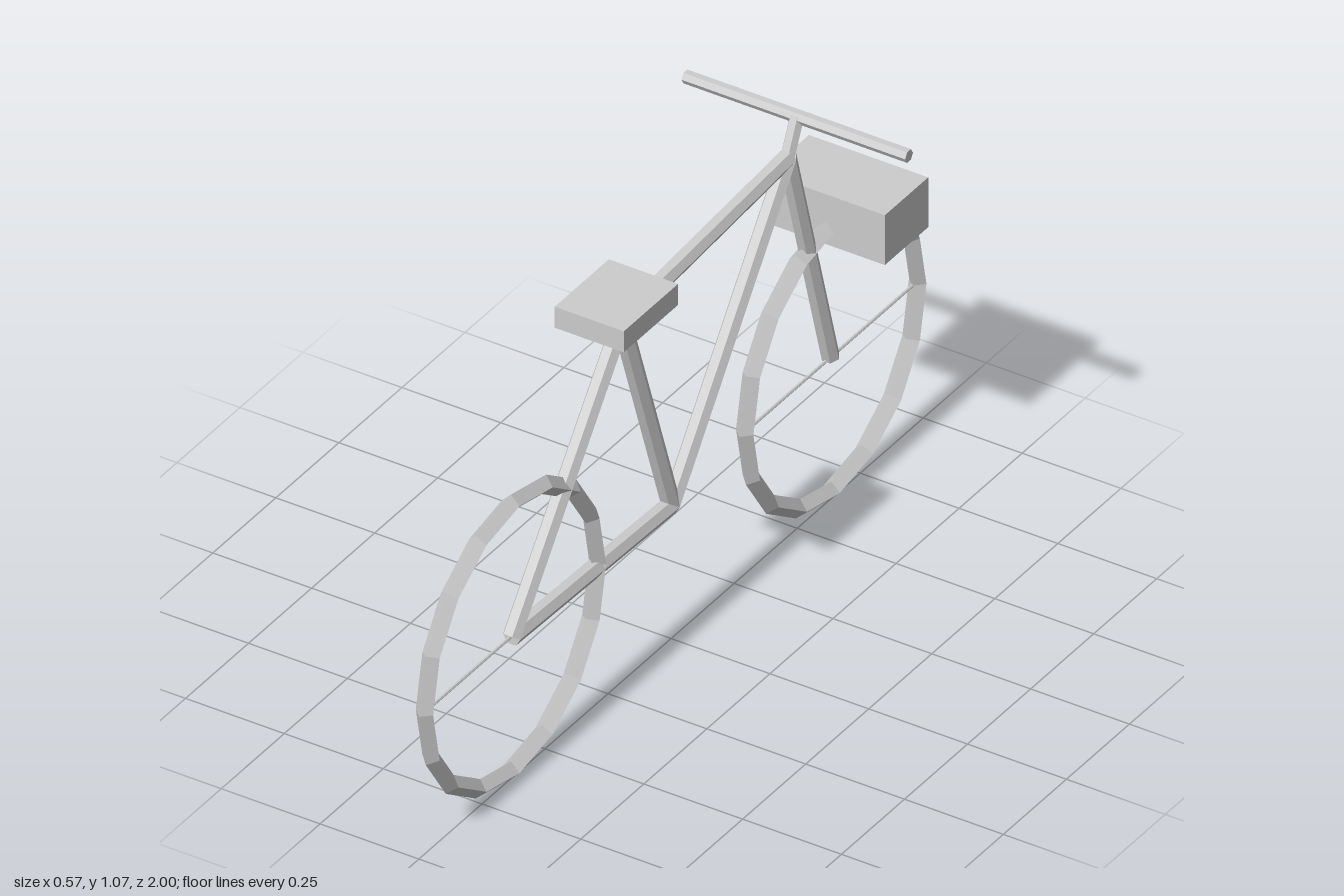
import * as THREE from 'three';

export function createModel() {
  const bike = new THREE.Group();
  bike.name = 'bicycle';
  const grey = new THREE.MeshStandardMaterial({ color: 0xcccccc });
  grey.name = 'light grey';

  function add(name, geometry, parent = bike) {
    const flat = geometry.toNonIndexed();
    flat.computeVertexNormals();
    const mesh = new THREE.Mesh(flat, grey);
    mesh.name = name;
    parent.add(mesh);
    return mesh;
  }

  // Six-sided tube in the centre plane between two [y, z] points, ridges to the sides
  function tube(name, a, b, radius, parent = bike) {
    const from = new THREE.Vector3(0, ...a);
    const to = new THREE.Vector3(0, ...b);
    const dir = to.clone().sub(from);
    const geometry = new THREE.CylinderGeometry(radius, radius, dir.length(), 6);
    geometry.rotateY(Math.PI / 6);
    const mesh = add(name, geometry, parent);
    mesh.position.copy(from).add(to).multiplyScalar(0.5);
    mesh.quaternion.setFromUnitVectors(new THREE.Vector3(0, 1, 0), dir.normalize());
  }

  function box(name, size, position) {
    add(name, new THREE.BoxGeometry(...size)).position.set(...position);
  }

  // Wheels: diamond-section rim with one thin crossbar
  const axleY = 0.372;
  for (const [name, z] of [['rearWheel', 0.635], ['frontWheel', -0.635]]) {
    const wheel = new THREE.Group();
    wheel.name = name;
    wheel.position.set(0, axleY, z);
    add('rim', new THREE.TorusGeometry(0.343, 0.022, 4, 16).rotateY(Math.PI / 2), wheel);
    tube('spokeBar', [0, -0.343], [0, 0.343], 0.004, wheel);
    bike.add(wheel);
  }

  // Frame
  const crank = [0.352, 0];
  const rearAxle = [0.37, 0.632];
  const seat = [0.935, 0.197];
  const head = [0.982, -0.462];
  const frontAxle = [0.374, -0.632];
  const bar = [1.066, -0.5];
  tube('chainStay', rearAxle, crank, 0.022);
  tube('seatStay', rearAxle, seat, 0.022);
  tube('seatTube', crank, seat, 0.022);
  tube('topTube', seat, head, 0.022);
  tube('downTube', crank, head, 0.022);
  tube('fork', head, frontAxle, 0.021);
  tube('stem', head, bar, 0.017);

  // Handlebar
  add('handlebar', new THREE.CylinderGeometry(0.0155, 0.0155, 0.566, 6).rotateZ(Math.PI / 2))
    .position.set(0, ...bar);

  // Saddle and basket
  box('saddle', [0.175, 0.054, 0.215], [0, 0.985, 0.217]);
  box('basket', [0.302, 0.128, 0.172], [0, 0.739, -0.697]);

  return bike;
}
